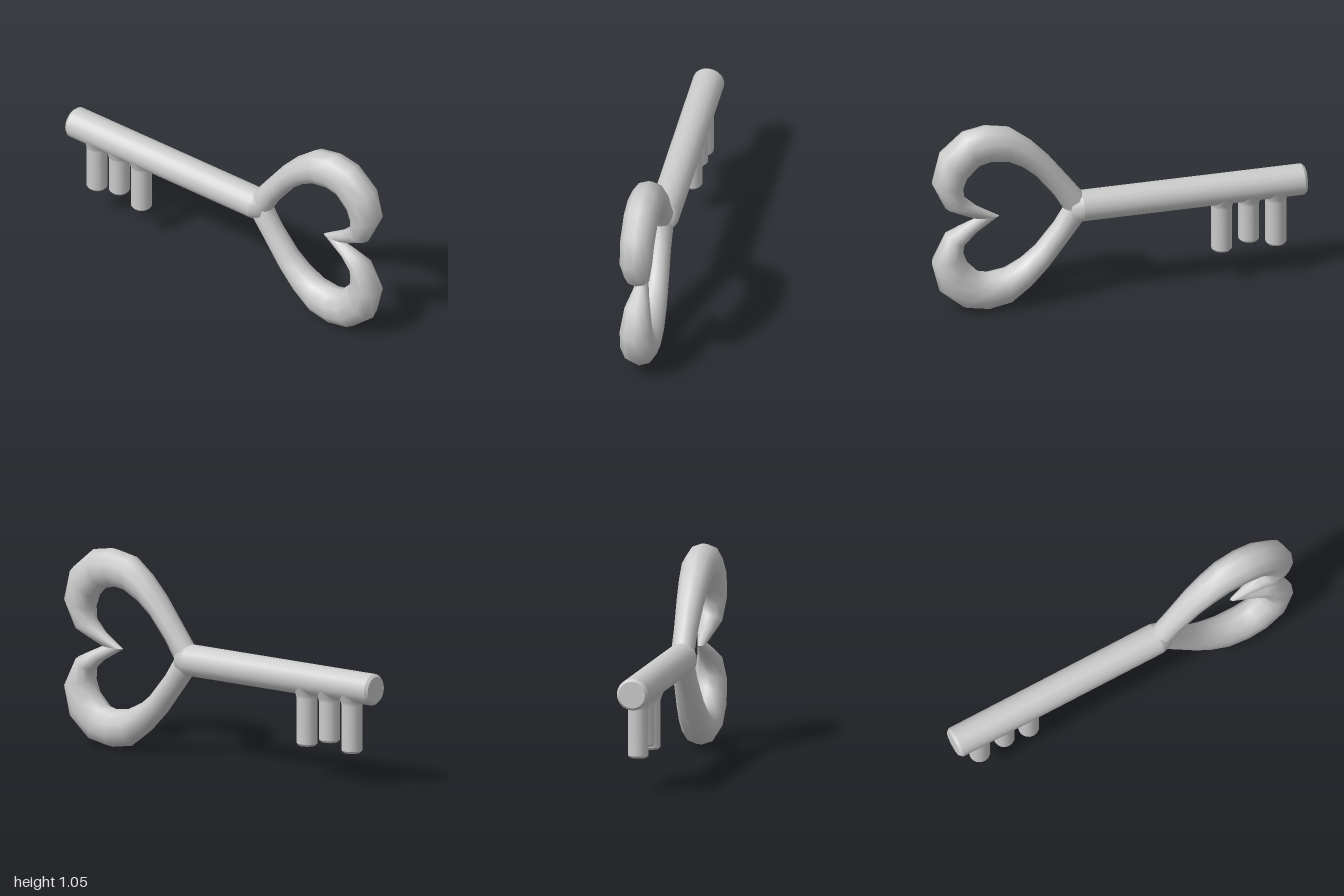
import * as THREE from 'three';

const material = new THREE.MeshStandardMaterial({ color: 0xcccccc });
const AXIS_Y = 0.5275;

// Lathe from [radius, height] pairs; a repeated pair keeps a crease there.
function turned(name, profile, sides) {
  const points = profile.map(([r, h]) => new THREE.Vector2(r, h));
  const mesh = new THREE.Mesh(new THREE.LatheGeometry(points, sides), material);
  mesh.name = name;
  return mesh;
}

// Heart lobe: rings spanning an outer and an inner point, with a half depth.
// Each row: outer x, outer y, inner x, inner y, half depth.
const LOBE = [
  [0.13, 0, 0.295, 0, 0.06],
  [0.255, 0.165, 0.345, 0.085, 0.062],
  [0.375, 0.32, 0.44, 0.205, 0.072],
  [0.47, 0.42, 0.515, 0.268, 0.08],
  [0.58, 0.505, 0.6, 0.312, 0.087],
  [0.705, 0.5275, 0.69, 0.325, 0.091],
  [0.83, 0.505, 0.75, 0.31, 0.091],
  [0.957, 0.397, 0.81, 0.245, 0.089],
  [0.998, 0.232, 0.83, 0.19, 0.085],
  [0.925, 0.076, 0.825, 0.135, 0.069],
  [0.85, 0.038, 0.76, 0.075, 0.046],
  [0.77, 0, 0.635, 0, 0.02],
];

function lobeGeometry(sides = 10) {
  const positions = [];
  const index = [];
  LOBE.forEach(([ox, oy, ix, iy, depth], i) => {
    for (let j = 0; j < sides; j++) {
      const a = (j / sides) * Math.PI * 2;
      const t = (1 + Math.cos(a)) / 2;
      positions.push(ix + (ox - ix) * t, iy + (oy - iy) * t, depth * Math.sin(a));
      if (i < LOBE.length - 1) {
        const k = (j + 1) % sides;
        const A = i * sides + j, B = i * sides + k;
        index.push(A, B, A + sides, B, B + sides, A + sides);
      }
    }
  });
  const geometry = new THREE.BufferGeometry();
  geometry.setAttribute('position', new THREE.Float32BufferAttribute(positions, 3));
  geometry.setIndex(index);
  geometry.computeVertexNormals();
  return geometry;
}

export function createModel() {
  const key = new THREE.Group();
  key.name = 'key';

  // Round shaft with a chamfered free end, tapering into the heart
  const shaft = turned('shaft', [
    [0, -1], [0.07, -1], [0.07, -1], [0.083, -0.985], [0.083, -0.985],
    [0.083, 0.2], [0.083, 0.2], [0.066, 0.26], [0, 0.265],
  ], 20);
  shaft.rotation.z = -Math.PI / 2;
  shaft.position.y = AXIS_Y;
  key.add(shaft);

  // Three pins, flared where they meet the shaft
  [[-0.845, 0.178], [-0.7, 0.216], [-0.555, 0.178]].forEach(([x, bottom], i) => {
    const pin = turned('pin' + (i + 1), [
      [0, bottom], [0.045, bottom], [0.045, bottom],
      [0.055, bottom + 0.012], [0.055, bottom + 0.012],
      [0.055, 0.43], [0.06, 0.45], [0.075, 0.49],
    ], 16);
    pin.position.x = x;
    key.add(pin);
  });

  // Heart-shaped bow: one lobe, and the same lobe turned over
  const bow = new THREE.Group();
  bow.name = 'heartBow';
  bow.position.y = AXIS_Y;
  const geometry = lobeGeometry();
  ['upperLobe', 'lowerLobe'].forEach((name, i) => {
    const lobe = new THREE.Mesh(geometry, material);
    lobe.name = name;
    lobe.rotation.x = i * Math.PI;
    bow.add(lobe);
  });
  key.add(bow);

  return key;
}
